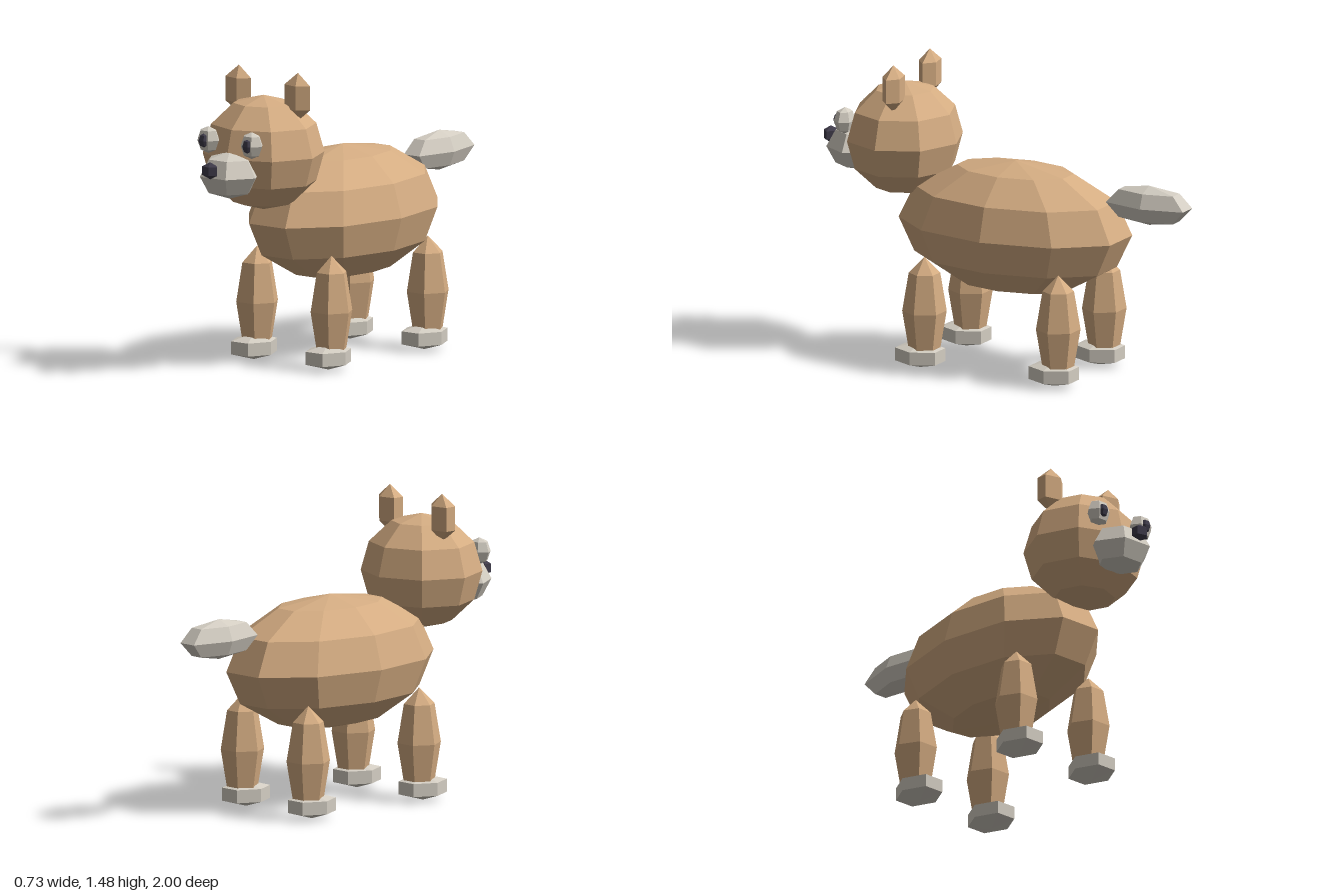
import * as THREE from 'three';

const tan = new THREE.MeshStandardMaterial({ color: 0xd4ac82, flatShading: true });
tan.name = 'tan fur';
const pale = new THREE.MeshStandardMaterial({ color: 0xd3cdc2, flatShading: true });
pale.name = 'pale grey';
const dark = new THREE.MeshStandardMaterial({ color: 0x3f3b4a, flatShading: true });
dark.name = 'dark';

// Low-poly ellipsoid with one vertex column on +x
function blob(name, material, sides, rows, radii, position) {
  const geometry = new THREE.SphereGeometry(1, sides, rows);
  geometry.rotateY(Math.PI);
  geometry.scale(...radii);
  const mesh = new THREE.Mesh(geometry, material);
  mesh.name = name;
  mesh.position.set(...position);
  return mesh;
}

export function createModel() {
  const model = new THREE.Group();
  model.name = 'dog';

  // Body and tail
  model.add(blob('body', tan, 10, 6, [0.365, 0.329, 0.613], [0, 0.703, -0.05]));
  model.add(blob('tail', pale, 6, 4, [0.095, 0.098, 0.245], [0, 0.9, -0.787]));

  // Head, muzzle and nose
  const head = new THREE.Group();
  head.name = 'headGroup';
  head.add(blob('head', tan, 8, 6, [0.305, 0.281, 0.285], [0, 1.072, 0.56]));
  head.add(blob('muzzle', pale, 6, 4, [0.16, 0.116, 0.15], [0, 0.994, 0.82]));
  head.add(blob('nose', dark, 5, 3, [0.05, 0.042, 0.038], [0, 1.035, 0.969]));

  for (const [side, s] of [['left', 1], ['right', -1]]) {
    // Ears and eyes
    head.add(blob(side + 'Ear', tan, 5, 3, [0.087, 0.118, 0.058], [s * 0.184, 1.358, 0.523]));
    head.add(blob(side + 'Eye', pale, 6, 4, [0.065, 0.066, 0.05], [s * 0.135, 1.153, 0.818]));
    head.add(blob(side + 'Pupil', dark, 6, 4, [0.032, 0.036, 0.028], [s * 0.136, 1.153, 0.848]));

    // Legs and paws
    for (const [end, z] of [['Front', 0.325], ['Back', -0.413]]) {
      model.add(blob(side + end + 'Leg', tan, 6, 4, [0.108, 0.27, 0.108], [s * 0.232, 0.285, z]));
      model.add(blob(side + end + 'Paw', pale, 6, 3, [0.122, 0.064, 0.147], [s * 0.232, 0.064, z + 0.024]));
    }
  }
  model.add(head);
  return model;
}
